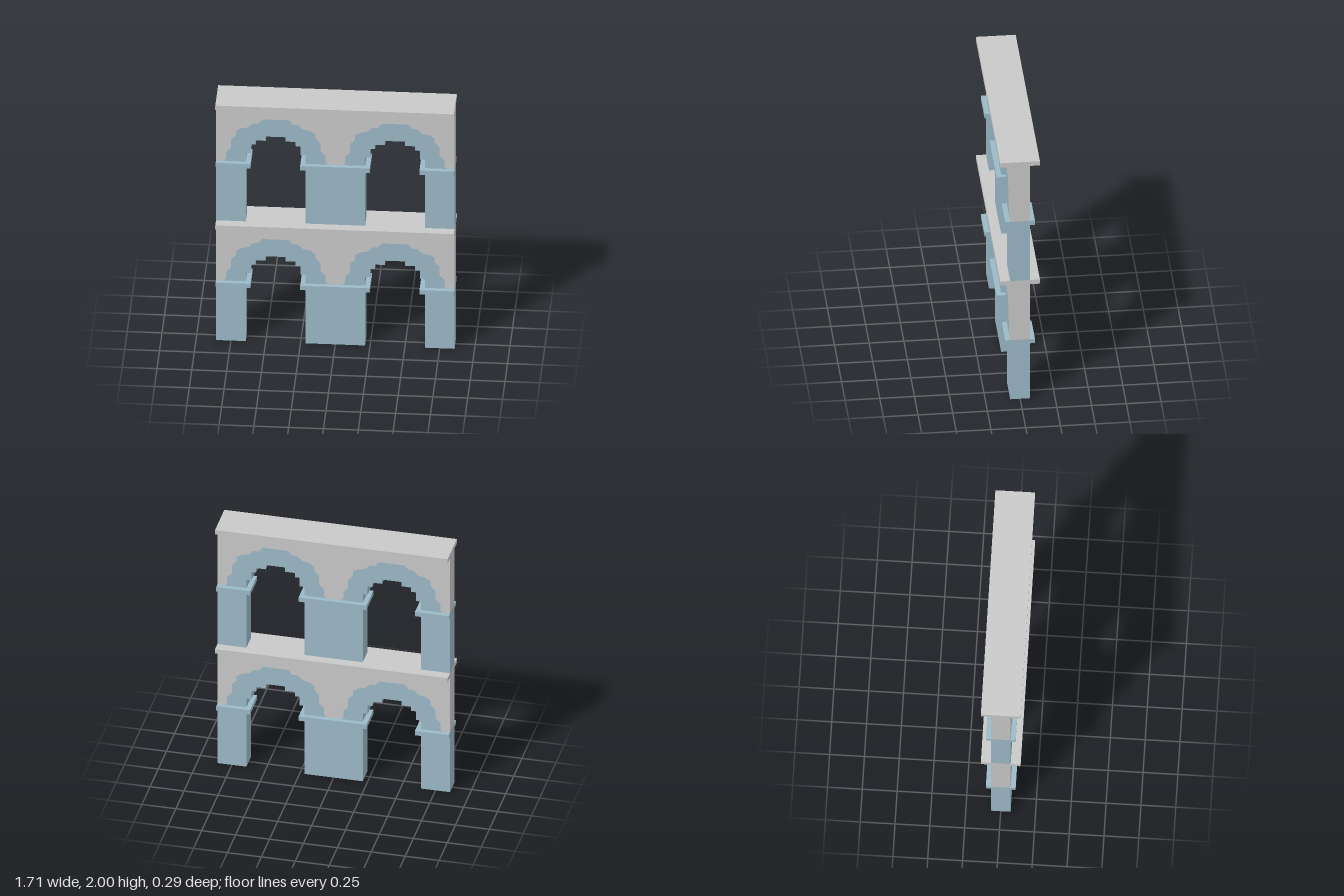
import * as THREE from 'three';

const U = 1 / 28; // one block of the masonry grid; all sizes below are in blocks

const stone = new THREE.MeshStandardMaterial({ color: 0xc8c8c8 });
stone.name = 'grey stone';
const blue = new THREE.MeshStandardMaterial({ color: 0x9bb9c7 });
blue.name = 'blue stone';

// Right halves of the arch curves, from the springing line up to the crown
const INNER = [[6, 0], [6, 2], [5, 2], [5, 4], [4, 4], [4, 5], [2, 5], [2, 6]];
const OUTER = [[10.5, 0], [10, 0.5], [10, 2], [9, 3], [9, 5], [8, 6], [8, 7], [7, 7.7],
  [5.5, 8], [4.5, 9], [3.4, 9], [2.7, 10]];

const SPRING = 14, BAY = 12, HALF_WIDTH = 24;

// Whole arch curve from left to right around a bay centre
function archCurve(half, cx) {
  const left = half.map(([x, y]) => [-x, y]);
  return [...left, ...half.slice().reverse()].map(([x, y]) => new THREE.Vector2(cx + x, SPRING + y));
}

function add(parent, name, geometry, material, x = 0, y = 0, z = 0) {
  const mesh = new THREE.Mesh(geometry, material);
  mesh.name = name;
  mesh.position.set(x, y, z);
  parent.add(mesh);
}

function box(parent, name, material, x0, x1, y0, y1, depth) {
  add(parent, name, new THREE.BoxGeometry(x1 - x0, y1 - y0, depth), material, (x0 + x1) / 2, (y0 + y1) / 2);
}

function slab(parent, name, points, material) {
  const geometry = new THREE.ExtrudeGeometry(new THREE.Shape(points), { depth: 4, bevelEnabled: false });
  add(parent, name, geometry, material, 0, 0, -2);
}

function createStorey() {
  const storey = new THREE.Group();

  // Piers with their projecting capitals, flush at the outer ends
  for (const [name, x0, x1, c0, c1] of [
    ['right', -24, -18, -24, -17], ['middle', -6, 6, -7, 7], ['left', 18, 24, 17, 24]]) {
    box(storey, name + 'Pier', blue, x0, x1, 0, 13, 4);
    box(storey, name + 'Capital', blue, c0, c1, 13, SPRING, 6);
  }

  // Stepped arch rings
  for (const side of [-1, 1]) {
    const ring = [...archCurve(OUTER, side * BAY), ...archCurve(INNER, side * BAY).reverse()];
    slab(storey, side < 0 ? 'rightArch' : 'leftArch', ring, blue);
  }

  // Wall around both arches
  slab(storey, 'spandrelWall', [
    new THREE.Vector2(-HALF_WIDTH, SPRING),
    ...archCurve(OUTER, -BAY), ...archCurve(OUTER, BAY),
    new THREE.Vector2(HALF_WIDTH, SPRING),
    new THREE.Vector2(HALF_WIDTH, 27), new THREE.Vector2(-HALF_WIDTH, 27),
  ], stone);

  // Projecting cornice, which is also the floor above
  box(storey, 'cornice', stone, -HALF_WIDTH, HALF_WIDTH, 27, 28, 8);
  return storey;
}

export function createModel() {
  const model = new THREE.Group();
  model.name = 'arcade';
  ['lowerStorey', 'upperStorey'].forEach((name, i) => {
    const storey = createStorey();
    storey.name = name;
    storey.scale.setScalar(U);
    storey.position.y = i;
    model.add(storey);
  });
  return model;
}
